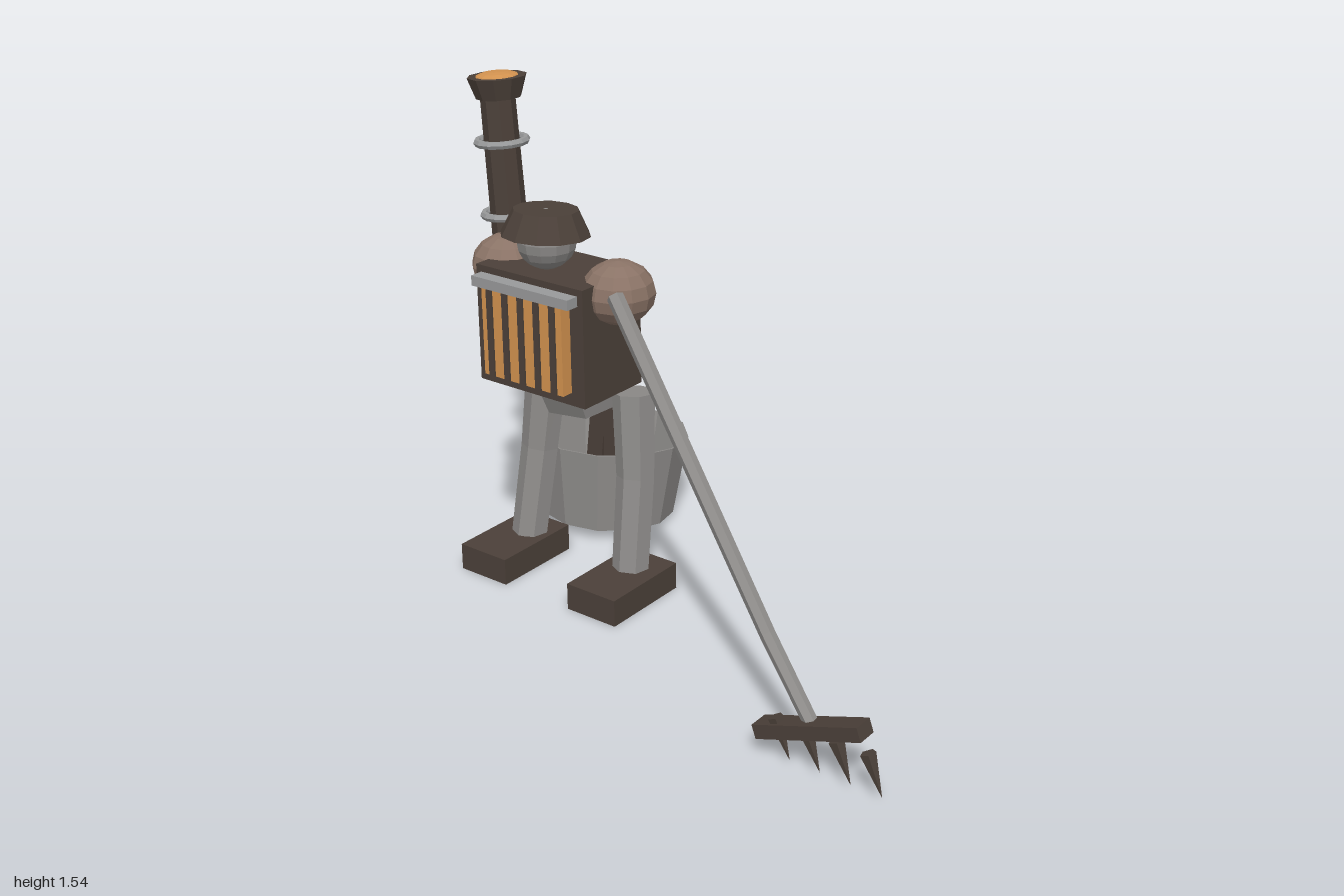
import * as THREE from 'three';

const V = (x, y, z) => new THREE.Vector3(x, y, z);
const UP = V(0, 1, 0);

const paint = (name, color) => {
  const m = new THREE.MeshStandardMaterial({ color });
  m.name = name;
  return m;
};

export function createModel() {
  const model = new THREE.Group();
  model.name = 'rakeRobot';

  const brown = paint('darkBrown', 0x4b4039);
  const steel = paint('steelGrey', 0x8d8b89);
  const trim = paint('lightGrey', 0x98999a);
  const amber = paint('amber', 0xd2924f);
  const tan = paint('tan', 0x8a7366);

  // Faceted mesh helper
  function add(name, geometry, material, pos = [0, 0, 0], rot = [0, 0, 0], parent = model) {
    const g = geometry.index ? geometry.toNonIndexed() : geometry;
    g.computeVertexNormals();
    const mesh = new THREE.Mesh(g, material);
    mesh.name = name;
    mesh.position.set(...pos);
    mesh.rotation.set(...rot);
    parent.add(mesh);
    return mesh;
  }
  const box = (name, mat, size, pos, rot, parent) =>
    add(name, new THREE.BoxGeometry(...size), mat, pos, rot, parent);
  const ball = (name, mat, size, pos, ws = 12, hs = 8, rot, parent) =>
    add(name, new THREE.SphereGeometry(1, ws, hs).scale(...size), mat, pos, rot, parent);

  // Faceted limb that follows a bent path with a radius at each point
  function limb(name, mat, points, radii, sides) {
    const n = points.length;
    const g = new THREE.CylinderGeometry(1, 1, 1, sides, n - 1);
    const p = g.attributes.position;
    const frames = points.map((_, i) => {
      const t = V(0, 0, 0);
      if (i > 0) t.add(points[i].clone().sub(points[i - 1]).normalize());
      if (i < n - 1) t.add(points[i + 1].clone().sub(points[i]).normalize());
      return new THREE.Quaternion().setFromUnitVectors(UP, t.normalize());
    });
    for (let i = 0; i < p.count; i++) {
      const k = Math.round((p.getY(i) + 0.5) * (n - 1));
      const v = V(p.getX(i) * radii[k], 0, p.getZ(i) * radii[k]).applyQuaternion(frames[k]).add(points[k]);
      p.setXYZ(i, v.x, v.y, v.z);
    }
    return add(name, g, mat);
  }

  // Torso and tilted abdomen
  box('torso', brown, [0.42, 0.375, 0.27], [-0.48, 0.858, 0.105]);
  const abdomen = new THREE.Group();
  abdomen.name = 'abdomen';
  abdomen.position.set(-0.48, 0.75, 0.023);
  abdomen.rotation.x = 0.326;
  model.add(abdomen);
  add('abdomenShell', new THREE.CylinderGeometry(0.19, 0.158, 0.315, 7), steel, [0, 0, 0], [0, -0.3, 0], abdomen);

  // Chest grille
  box('grillePanel', amber, [0.315, 0.28, 0.045], [-0.478, 0.852, 0.257]);
  for (let i = -2; i <= 2; i++) {
    box('grilleBar', brown, [0.021, 0.28, 0.02], [-0.478 + i * 0.062, 0.852, 0.276]);
  }
  box('grilleTopBar', trim, [0.38, 0.032, 0.05], [-0.48, 1.008, 0.26]);

  // Head and hat
  ball('head', steel, [0.093, 0.093, 0.093], [-0.487, 1.14, 0.145], 12, 10);
  add('hat', new THREE.CylinderGeometry(0.1, 0.138, 0.078, 12), brown, [-0.487, 1.193, 0.145], [-0.06, 0, 0]);

  // Shoulders
  for (const x of [-0.7, -0.258]) ball('shoulder', tan, [0.114, 0.098, 0.113], [x, 1.003, 0.088]);

  // Legs and feet
  for (const s of [-1, 1]) {
    const at = (dx, y, z) => V(-0.448 + s * dx, y, z);
    limb('leg', steel, [at(0.212, 0.08, 0.078), at(0.198, 0.38, 0.028), at(0.176, 0.65, 0.003)],
      [0.06, 0.062, 0.07], 7);
    box('foot', brown, [0.188, 0.088, 0.31], [-0.45 + s * 0.224, 0.044, 0.135]);
  }

  // Long rake arm
  limb('rakeArm', steel, [V(0.77, 0.135, 0.562), V(0.555, 0.29, 0.463), V(-0.2, 1.025, 0.175)],
    [0.021, 0.023, 0.026], 6);
  box('rakeHead', brown, [0.35, 0.042, 0.063], [0.77, 0.13, 0.567], [0, 0, 0.34]);
  for (let i = 0; i < 4; i++) {
    const tooth = new THREE.ConeGeometry(0.023, 0.13, 5).rotateX(Math.PI);
    add('rakeTooth', tooth, brown, [0.683 + i * 0.097, 0.068, 0.573], [0, 0, 0.38]);
  }

  // Cannon arm, built upright and then leaned outward
  limb('cannonArm', steel, [V(-0.85, 0.915, -0.12), V(-0.77, 0.94, -0.075)], [0.032, 0.032], 7);
  const cannon = new THREE.Group();
  cannon.name = 'cannon';
  cannon.position.set(-0.866, 0.885, -0.117);
  cannon.rotation.z = 0.07;
  model.add(cannon);
  add('barrel', new THREE.CylinderGeometry(0.056, 0.06, 0.59, 8), brown, [0, 0.29, 0], [0, 0, 0], cannon);
  add('muzzle', new THREE.CylinderGeometry(0.096, 0.073, 0.068, 10), brown, [0, 0.61, -0.005], [0, 0, 0], cannon);
  ball('muzzleGlow', amber, [0.072, 0.019, 0.072], [0, 0.64, -0.005], 12, 8, [0, 0, 0], cannon);
  for (const y of [0.2, 0.437]) {
    add('barrelRing', new THREE.TorusGeometry(0.079, 0.013, 6, 14), trim, [0, y, 0], [Math.PI / 2, 0, 0], cannon);
  }

  // Tilted bucket with an open thin wall
  const bucket = new THREE.Group();
  bucket.name = 'bucket';
  bucket.position.set(-0.652, 0.022, -0.312);
  bucket.rotation.x = -0.085;
  model.add(bucket);
  const wall = [[0.226, 0], [0.266, 0.281], [0.26, 0.281], [0.22, 0], [0.226, 0]];
  add('bucketWall', new THREE.LatheGeometry(wall.map(([r, y]) => new THREE.Vector2(r, y)), 12), steel,
    [0, 0, 0], [0, 0, 0], bucket);
  ball('bucketEmbers', amber, [0.203, 0.025, 0.17], [-0.652, 0.035, -0.32], 14, 8);

  // Three sticks fanning out inside the bucket
  for (let i = -1; i <= 1; i++) {
    box('stick', brown, [0.064, 0.39, 0.068], [-0.617 + i * 0.073, 0.236, -0.327], [0, 0, i * 0.12]);
  }

  return model;
}
